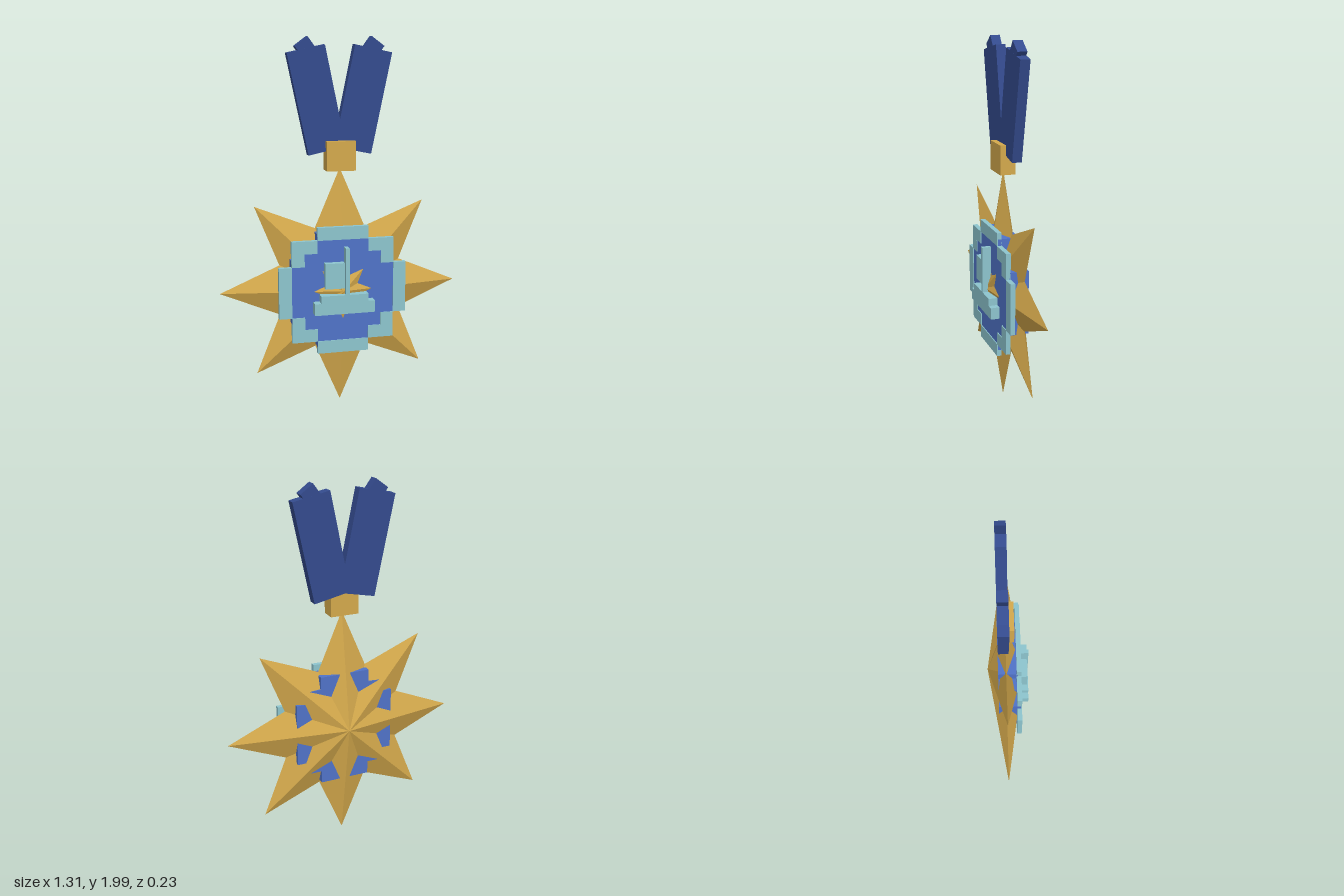
import * as THREE from 'three';

const CENTRE_Y = 0.66; // height of the middle of the star
const CELL = 0.07; // grid step of the stepped disc

function makeMaterial(name, color) {
  const material = new THREE.MeshStandardMaterial({ color });
  material.name = name;
  return material;
}

// Faceted double-sided star: a ring of alternating radii joined to two apexes
function starGeometry(points, outer, inner, midZ, halfDepth) {
  const ring = [];
  for (let i = 0; i < points * 2; i++) {
    const a = (i * Math.PI) / points + Math.PI / 2;
    const r = i % 2 ? inner : outer;
    ring.push([Math.cos(a) * r, Math.sin(a) * r, midZ]);
  }
  const verts = [];
  ring.forEach((p, i) => {
    const q = ring[(i + 1) % ring.length];
    verts.push(0, 0, midZ + halfDepth, ...p, ...q);
    verts.push(0, 0, midZ - halfDepth, ...q, ...p);
  });
  const geometry = new THREE.BufferGeometry();
  geometry.setAttribute('position', new THREE.Float32BufferAttribute(verts, 3));
  geometry.computeVertexNormals();
  return geometry;
}

export function createModel() {
  const gold = makeMaterial('gold', 0xd4a94c);
  const blue = makeMaterial('blue enamel', 0x5073c8);
  const navy = makeMaterial('navy ribbon', 0x344b8e);
  const aqua = makeMaterial('pale aqua', 0x8dc5ce);

  const model = new THREE.Group();
  model.name = 'starMedal';

  // Box given by its limits on each axis
  function box(parent, name, material, x0, x1, y0, y1, z0, z1) {
    const mesh = new THREE.Mesh(new THREE.BoxGeometry(x1 - x0, y1 - y0, z1 - z0), material);
    mesh.position.set((x0 + x1) / 2, (y0 + y1) / 2, (z0 + z1) / 2);
    mesh.name = name;
    parent.add(mesh);
    return mesh;
  }

  function group(name, y = 0) {
    const g = new THREE.Group();
    g.name = name;
    g.position.y = y;
    model.add(g);
    return g;
  }

  // Eight-pointed star
  const star = new THREE.Mesh(starGeometry(8, 0.655, 0.36, -0.012, 0.103), gold);
  star.name = 'star';
  star.position.y = CENTRE_Y;
  model.add(star);

  // Stepped blue disc, one outline extruded through the star
  const quarter = [[4, 2.5], [3, 2.5], [3, 3.5], [2, 3.5], [2, 4.5]];
  const back = quarter.slice().reverse();
  const outline = [
    ...quarter,
    ...back.map(([x, y]) => [-x, y]),
    ...quarter.map(([x, y]) => [-x, -y]),
    ...back.map(([x, y]) => [x, -y]),
  ].map(([x, y]) => new THREE.Vector2(x * CELL, y * CELL));
  const disc = new THREE.Mesh(
    new THREE.ExtrudeGeometry(new THREE.Shape(outline), { depth: 0.121, bevelEnabled: false }),
    blue
  );
  disc.name = 'disc';
  disc.position.set(0, CENTRE_Y, -0.055);
  model.add(disc);

  // Stepped rim: four long bars and four L-shaped corners
  const rim = group('rim', CENTRE_Y);
  const rimBox = (name, x0, x1, y0, y1) =>
    box(rim, name, aqua, x0 * CELL, x1 * CELL, y0 * CELL, y1 * CELL, 0.045, 0.071);
  for (const s of [-1, 1]) {
    const [lo, hi] = s > 0 ? [4, 5] : [-5, -4];
    rimBox('rimBar', -2, 2, lo, hi);
    rimBox('rimSide', lo, hi, -2, 2);
    for (const t of [-1, 1]) {
      const x = (a, b) => (s > 0 ? [a, b] : [-b, -a]);
      const y = (a, b) => (t > 0 ? [a, b] : [-b, -a]);
      rimBox('rimCorner', ...x(2, 4), ...y(3, 4));
      rimBox('rimCornerStep', ...x(3, 4), ...y(2, 3));
    }
  }

  // Boat emblem on the face
  const emblem = group('boatEmblem');
  box(emblem, 'hull', aqua, -0.165, 0.165, 0.54, 0.605, 0.062, 0.115);
  box(emblem, 'deck', aqua, -0.13, 0.13, 0.605, 0.645, 0.062, 0.115);
  box(emblem, 'mast', aqua, 0.005, 0.026, 0.645, 0.9, 0.062, 0.115);
  box(emblem, 'sail', aqua, -0.105, 0, 0.68, 0.82, 0.073, 0.107);

  // Clasp above the top point
  box(model, 'clasp', gold, -0.078, 0.078, 1.302, 1.46, -0.052, 0.031);

  // Two ribbon strips in a V, each with a slanted end piece
  const ribbon = group('ribbon');
  for (const s of [-1, 1]) {
    const strip = box(ribbon, 'ribbonStrip', navy, -0.1025, 0.1025, -0.271, 0.271, -0.053, 0);
    strip.position.set(s * 0.125, 1.672, -0.0265);
    strip.rotation.z = -s * 0.206;
    const end = box(ribbon, 'ribbonEnd', navy, -0.042, 0.042, -0.05, 0.05, -0.0525, -0.0005);
    end.position.set(s * 0.175, 1.934, -0.0265);
    end.rotation.z = -s * 0.635;
  }

  return model;
}
